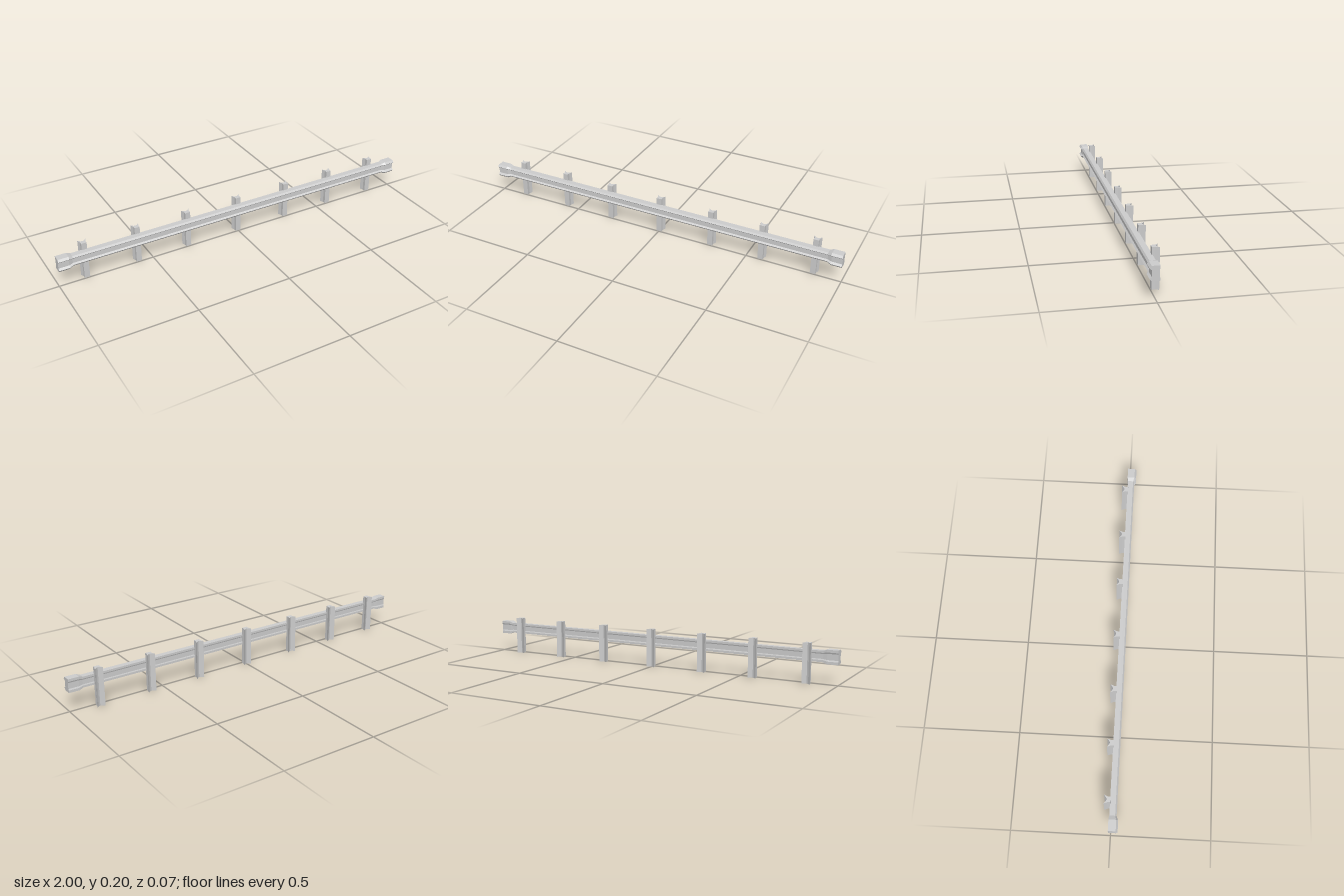
import * as THREE from 'three';

const material = new THREE.MeshStandardMaterial({ color: 0xcccccc, flatShading: true, side: THREE.DoubleSide });
const shapeOf = (points) => new THREE.Shape(points.map(([x, y]) => new THREE.Vector2(x, y)));

// Beam: upper half of the ridged section as [z, height above its middle], mirrored below
function createRail() {
  const midY = 0.136;
  const half = [[-0.008, 0.015], [-0.011, 0.022], [-0.011, 0.035], [0.027, 0.035], [0.036, 0.024], [0.026, 0.015]];
  const section = [...half, ...half.map(([z, y]) => [z, -y]).reverse()];
  const geometry = new THREE.ExtrudeGeometry(shapeOf(section.map(([z, y]) => [-z, y])),
    { depth: 5, steps: 5, bevelEnabled: false });
  geometry.rotateY(Math.PI / 2);

  // Stations along the beam: full-size ends tapering into a slimmer run
  const stations = [-1, -0.945, -0.925, 0.925, 0.945, 1];
  const p = geometry.attributes.position;
  for (let i = 0; i < p.count; i++) {
    const s = Math.round(p.getX(i));
    const slim = s === 2 || s === 3;
    const z = p.getZ(i);
    p.setXYZ(i, stations[s], midY + p.getY(i) * (slim ? 0.8 : 1), slim ? -0.008 + (z + 0.011) * 0.75 : z);
  }
  geometry.computeVertexNormals();
  const rail = new THREE.Mesh(geometry, material);
  rail.name = 'rail';
  return rail;
}

// Post: narrow front face, sides flaring to two back tips with a V groove between
function createPostGeometry() {
  const section = [[-0.014, -0.004], [0.014, -0.004], [0.014, -0.02], [0.021, -0.038], [0.009, -0.028],
    [0, -0.024], [-0.009, -0.028], [-0.021, -0.038], [-0.014, -0.02]];
  const geometry = new THREE.ExtrudeGeometry(shapeOf(section.map(([x, z]) => [x, -z])),
    { depth: 0.2, bevelEnabled: false });
  return geometry.rotateX(-Math.PI / 2);
}

export function createModel() {
  const model = new THREE.Group();
  model.name = 'guardRail';
  model.add(createRail());

  const postGeometry = createPostGeometry();
  [-0.853, -0.575, -0.295, 0, 0.295, 0.575, 0.853].forEach((x, i) => {
    const post = new THREE.Mesh(postGeometry, material);
    post.name = `post${i + 1}`;
    post.position.x = x;
    model.add(post);
  });
  return model;
}
